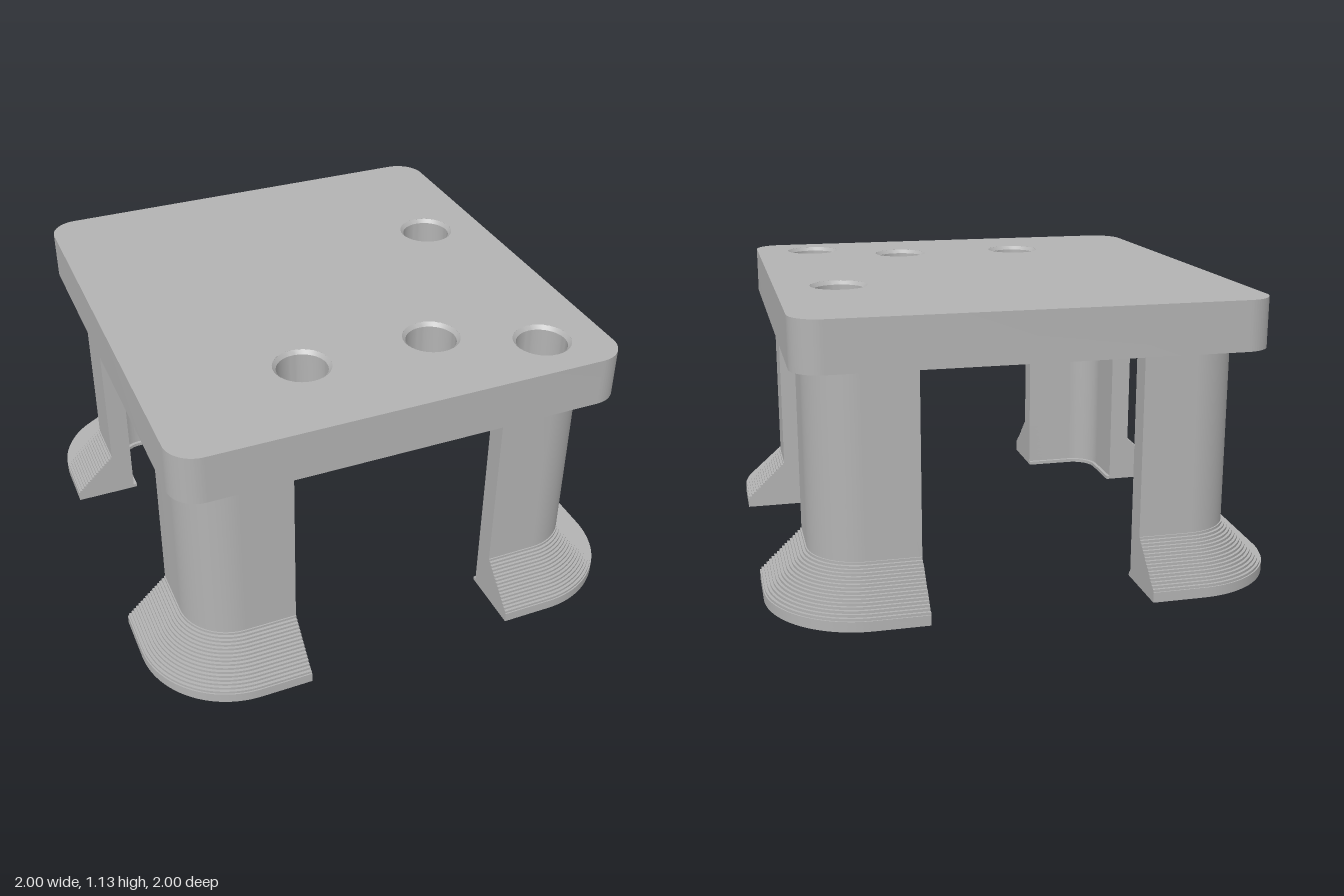
import * as THREE from 'three';
import { toCreasedNormals } from 'three/addons/utils/BufferGeometryUtils.js';

const grey = new THREE.MeshStandardMaterial({ color: 0xb3b3b3 });
grey.name = 'grey';

// Extrudes a plan shape (x, -z) upward between two heights
function slab(shape, y0, y1, name) {
  const geo = new THREE.ExtrudeGeometry(shape, { depth: y1 - y0, bevelEnabled: false, curveSegments: 16 });
  geo.rotateX(-Math.PI / 2).translate(0, y0, 0);
  const mesh = new THREE.Mesh(toCreasedNormals(geo, 0.5), grey);
  mesh.name = name;
  return mesh;
}

// Rounded L-shaped plan of a corner leg, from its inner to its outer offset
function cornerShape(inner, outer) {
  const end = 0.425, c = 0.63;
  const s = new THREE.Shape();
  s.moveTo(end, inner);
  s.lineTo(c, inner);
  s.absarc(c, c, inner - c, Math.PI / 2, 0, true);
  s.lineTo(inner, end);
  s.lineTo(outer, end);
  s.lineTo(outer, c);
  s.absarc(c, c, outer - c, 0, Math.PI / 2, false);
  s.lineTo(end, outer);
  s.closePath();
  return s;
}

// One leg with a finely stepped flare and a flat foot
function makeLeg() {
  const leg = new THREE.Group();
  const inner = 0.745, outer = 0.832, steps = 16, footTop = 0.04, flareTop = 0.2;
  leg.add(slab(cornerShape(inner, outer), flareTop, 0.94, 'legPost'));
  const rise = (flareTop - footTop) / steps;
  for (let i = 0; i < steps; i++) {
    const y = footTop + i * rise;
    const reach = THREE.MathUtils.lerp(1, outer, (i + 0.5) / steps);
    leg.add(slab(cornerShape(inner, reach), y, y + rise, 'flareStep'));
  }
  leg.add(slab(cornerShape(inner, 1), 0.015, footTop, 'foot'));
  leg.add(slab(cornerShape(0.73, 1), 0, 0.015, 'footLip'));
  return leg;
}

// Rounded table plate with four blind, chamfered holes
function makePlate() {
  const plate = new THREE.Group();
  plate.name = 'plate';
  const x = 0.89, front = 0.92, back = 0.96, r = 0.115, bottom = 0.94, top = 1.133;
  const s = new THREE.Shape();
  s.absarc(x - r, back - r, r, 0, Math.PI / 2);
  s.absarc(-x + r, back - r, r, Math.PI / 2, Math.PI);
  s.absarc(-x + r, -front + r, r, Math.PI, Math.PI * 1.5);
  s.absarc(x - r, -front + r, r, Math.PI * 1.5, Math.PI * 2);
  s.closePath();

  const R = 0.112, bore = 0.098, floor = 0.985;
  const profile = [[0, bottom], [R, bottom], [R, top], [bore, top - 0.015], [bore, floor], [0, floor]]
    .map(([a, b]) => new THREE.Vector2(a, b));
  const cup = toCreasedNormals(new THREE.LatheGeometry(profile, 64), 0.5);

  for (const [hx, hz] of [[0.64, -0.285], [0.64, 0.705], [-0.27, 0.525], [0.26, 0.525]]) {
    s.holes.push(new THREE.Path().absarc(hx, -hz, R, 0, Math.PI * 2, true));
    const mesh = new THREE.Mesh(cup, grey);
    mesh.name = 'holeLining';
    mesh.position.set(hx, 0, hz);
    plate.add(mesh);
  }
  plate.add(slab(s, bottom, top, 'tableTop'));
  return plate;
}

export function createModel() {
  const model = new THREE.Group();
  model.name = 'stand';
  model.add(makePlate());
  // Four identical legs, one per corner
  ['backLeftLeg', 'backRightLeg', 'frontRightLeg', 'frontLeftLeg'].forEach((name, i) => {
    const leg = makeLeg();
    leg.name = name;
    leg.rotation.y = i * Math.PI / 2;
    model.add(leg);
  });
  return model;
}
